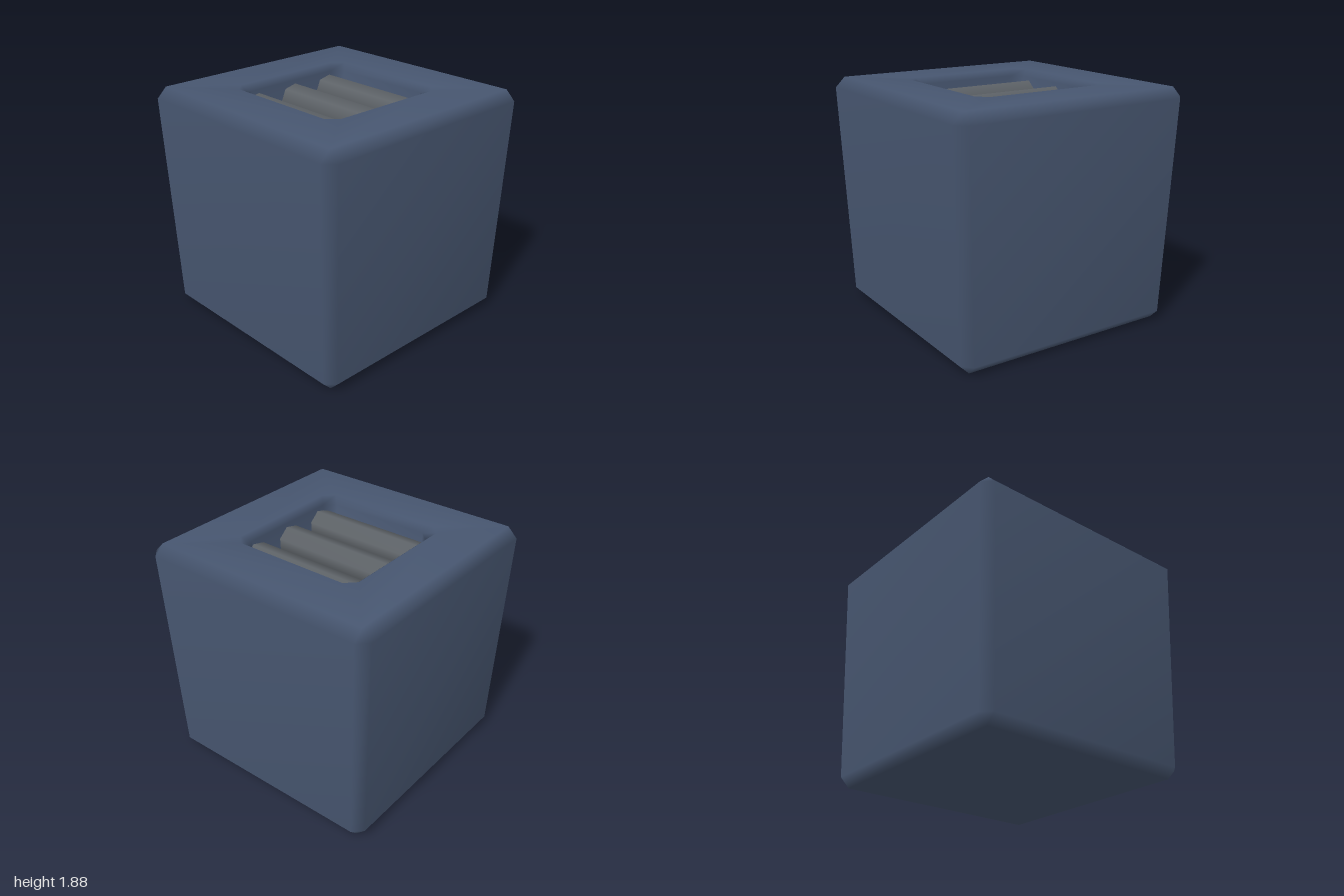
import * as THREE from 'three';
import { mergeVertices } from 'three/addons/utils/BufferGeometryUtils.js';

// Square ring of half-width h with corners cut by c, at height y
function ring(h, c, y) {
  const k = h - c;
  return [[h, -k], [h, k], [k, h], [-k, h], [-h, k], [-h, -k], [-k, -h], [k, -h]]
    .map(([x, z]) => [x, y, z]);
}

// Skin a stack of rings into one smooth surface
function loft(rings) {
  const pos = rings.flat(2);
  const idx = [];
  const n = 8;
  for (let j = 0; j < rings.length - 1; j++) {
    for (let i = 0; i < n; i++) {
      const a = j * n + i, b = j * n + (i + 1) % n;
      idx.push(a, a + n, b, b, a + n, b + n);
    }
  }
  let g = new THREE.BufferGeometry();
  g.setAttribute('position', new THREE.Float32BufferAttribute(pos, 3));
  g.setIndex(idx);
  g = mergeVertices(g);
  g.computeVertexNormals();
  return g;
}

export function createModel() {
  const group = new THREE.Group();
  const material = (name, color) => {
    const m = new THREE.MeshStandardMaterial({ color });
    m.name = name;
    return m;
  };
  const blue = material('slate blue', 0x475670);
  const grey = material('metal grey', 0x5c6166);
  const dark = material('dark green', 0x0f2626);

  const add = (name, geometry, mat) => {
    const mesh = new THREE.Mesh(geometry, mat);
    mesh.name = name;
    group.add(mesh);
    return mesh;
  };

  // Tapered bevelled block with a square well in the top
  add('body', loft([
    ring(0, 0, 0),
    ring(0.865, 0, 0),
    ring(0.94, 0.075, 0.075),
    ring(1, 0.08, 1.8),
    ring(0.92, 0, 1.88),
    ring(0.555, 0.08, 1.88),
    ring(0.5, 0.08, 1.83),
    ring(0.475, 0.06, 1.28),
    ring(0, 0, 1.28),
  ]), blue);

  // Dark floor of the well
  add('wellFloor', loft([ring(0.475, 0.06, 1.29), ring(0, 0, 1.29)]), dark);

  // Three round bars across the opening
  const bar = new THREE.CylinderGeometry(0.125, 0.125, 1, 7);
  bar.rotateY(-Math.PI / 2);
  bar.rotateX(Math.PI / 2);
  for (const x of [-0.375, 0, 0.375]) {
    add('grateBar', bar, grey).position.set(x, 1.68, 0);
  }

  return group;
}
